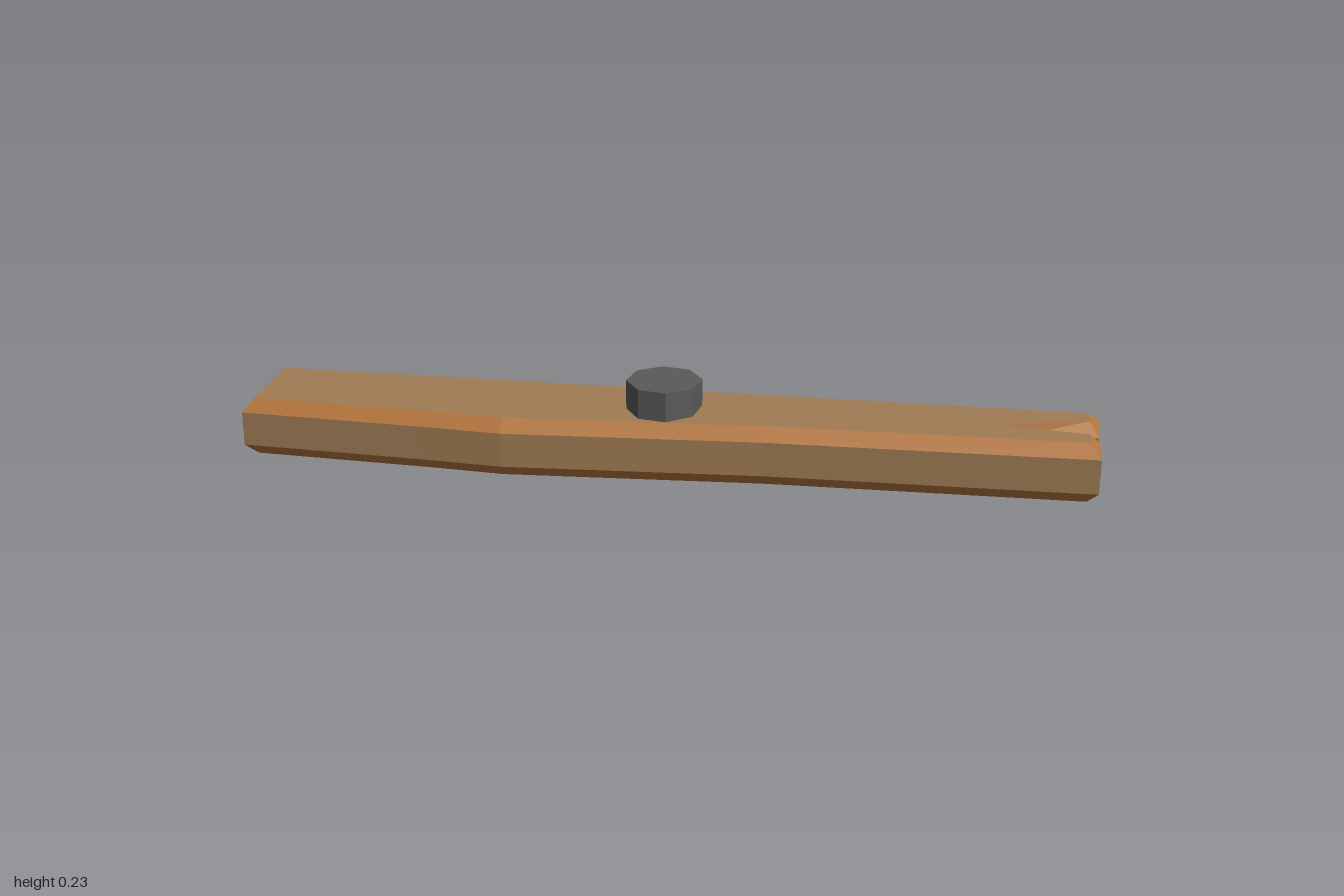
import * as THREE from 'three';

// Plank outline seen from above as [x, z], running counterclockwise
const outline = [
  [-0.94, -0.337], [-1.0, -0.11], [-0.57, 0.012], [-0.38, 0.07], [0.22, 0.175],
  [0.955, 0.336], [0.972, 0.248], [0.79, 0.198], [0.977, 0.219], [0.998, 0.132],
].map(([x, z]) => new THREE.Vector2(x, z));
const NOTCH = 7; // index of the split's inner end
const CHAMFER = 0.024, RISE = 0.03, THICK = 0.143;

// Move every corner inward so that each edge shifts by d
function inset(points, d) {
  const n = points.length;
  const inward = (a, b) => new THREE.Vector2(b.y - a.y, a.x - b.x).normalize();
  return points.map((p, i) => {
    if (i === NOTCH) return new THREE.Vector2(p.x - 0.04, p.y - 0.01);
    const n1 = inward(points[(i + n - 1) % n], p);
    const n2 = inward(p, points[(i + 1) % n]);
    return p.clone().addScaledVector(n1.clone().add(n2), d / (1 + n1.dot(n2)));
  });
}

// The plank leans slightly, so height depends on x and z
const place = (p, y) => [p.x, y + 0.025 + 0.0268 * p.x - 0.033 * p.y, p.y];

function meshFrom(name, positions, color) {
  const geometry = new THREE.BufferGeometry();
  geometry.setAttribute('position', new THREE.Float32BufferAttribute(positions, 3));
  geometry.computeVertexNormals();
  const mesh = new THREE.Mesh(geometry, new THREE.MeshStandardMaterial({ color }));
  mesh.name = name;
  return mesh;
}

export function createModel() {
  const model = new THREE.Group();
  const inner = inset(outline, CHAMFER);
  const rings = [[inner, 0], [outline, RISE], [outline, THICK - RISE], [inner, THICK]];
  const faces = [], edges = [];

  // Plank sides and chamfers; the plain end has no coloured chamfer
  for (let r = 0; r < 3; r++) {
    const [low, y0] = rings[r], [high, y1] = rings[r + 1];
    outline.forEach((_, i) => {
      const j = (i + 1) % outline.length;
      const a = place(low[i], y0), b = place(low[j], y0);
      const c = place(high[j], y1), d = place(high[i], y1);
      const target = r === 1 || i === 0 ? faces : edges;
      target.push(...a, ...b, ...c, ...a, ...c, ...d);
    });
  }

  // Plank top and underside
  const flat = inner.map((p) => new THREE.Vector2(p.x, -p.y));
  for (const [a, b, c] of THREE.ShapeUtils.triangulateShape(flat, [])) {
    for (const k of [a, b, c]) faces.push(...place(inner[k], THICK));
    for (const k of [c, b, a]) faces.push(...place(inner[k], 0));
  }
  const plank = new THREE.Group();
  plank.name = 'plank';
  plank.add(meshFrom('plankFaces', faces, 0xa07c54), meshFrom('plankChamfers', edges, 0xb5763c));
  model.add(plank);

  // Eight-sided bolt head standing on the plank
  const bolt = new THREE.Mesh(
    new THREE.CylinderGeometry(0.0885, 0.0885, 0.125, 8),
    new THREE.MeshStandardMaterial({ color: 0x5a5a5a, flatShading: true }),
  );
  bolt.name = 'boltHead';
  bolt.position.set(0.003, 0.1725, 0.021);
  model.add(bolt);
  return model;
}
